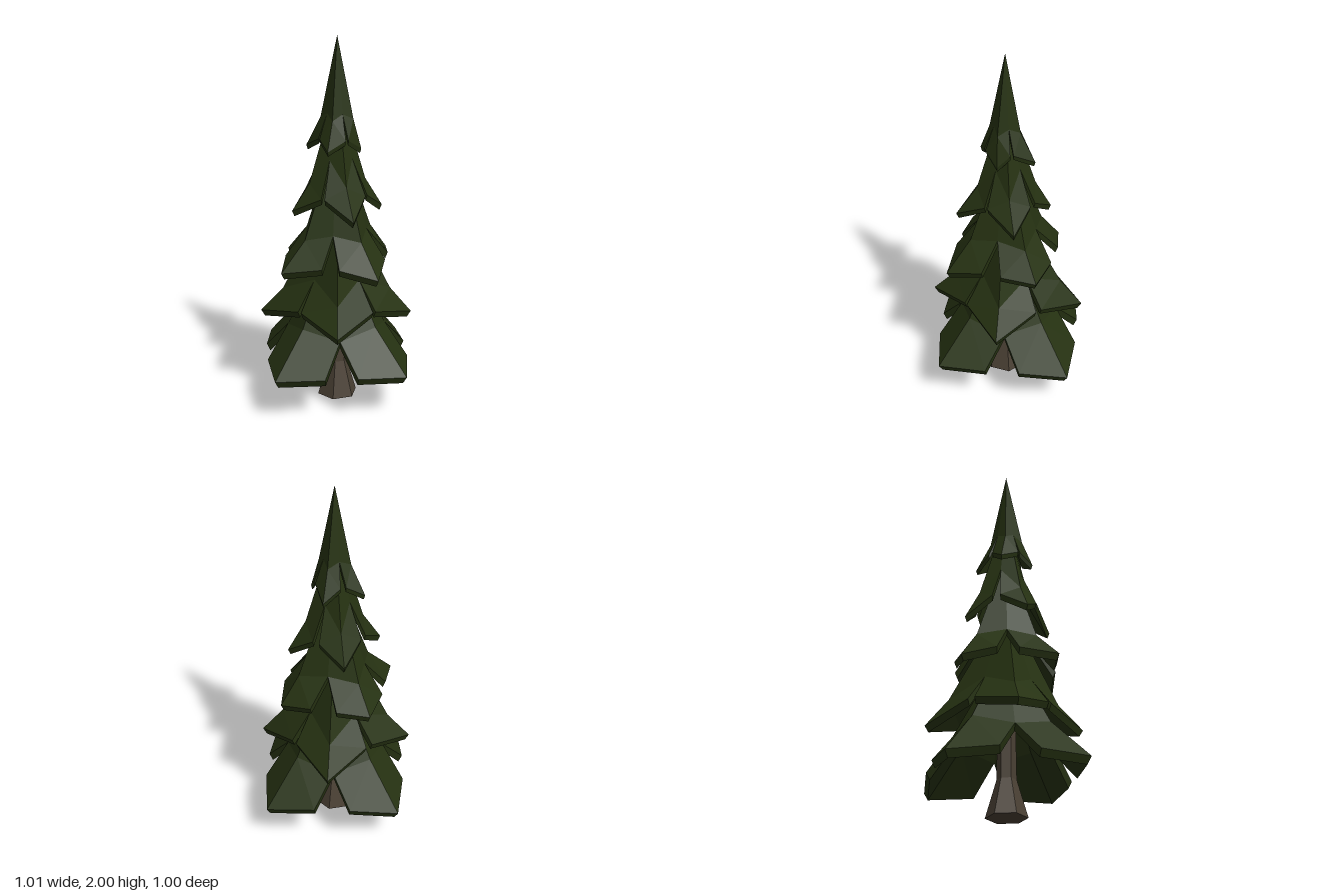
import * as THREE from 'three';

// Each tier is a four-branched, folded skirt.
// tips: [x, y, z] in order of azimuth; mid: ridge bend [radius, y];
// corner: [radius, y, angle from tip in degrees]; valley: notch between branches [radius, y]
const TIERS = [
  { apex: 0.95, mid: [0.28, 0.46], corner: [0.395, 0.245, 31], valley: [0.265, 0.41], drop: 0.04,
    tips: [[0.505, 0.215, 0.005], [0, 0.235, 0.5], [-0.505, 0.235, 0.02], [0, 0.215, -0.505]] },
  { apex: 1.2, mid: [0.29, 0.62], corner: [0.285, 0.555, 42], valley: [0.17, 0.71], drop: 0.035,
    tips: [[0.265, 0.48, 0.31], [-0.31, 0.49, 0.285], [-0.285, 0.49, -0.295], [0.305, 0.47, -0.27]] },
  { apex: 1.5, mid: [0.22, 0.94], corner: [0.275, 0.82, 33], valley: [0.16, 0.97], drop: 0.035,
    tips: [[0.32, 0.79, 0.08], [-0.08, 0.77, 0.365], [-0.375, 0.79, -0.05], [0.045, 0.79, -0.32]] },
  { apex: 1.75, mid: [0.155, 1.23], corner: [0.175, 1.17, 40], valley: [0.09, 1.36], drop: 0.03,
    tips: [[0.21, 1.07, 0.14], [-0.14, 1.075, 0.245], [-0.225, 1.085, -0.11], [0.115, 1.07, -0.195]] },
  { apex: 2, mid: [0.088, 1.57], corner: [0.11, 1.47, 40], valley: [0.06, 1.6], drop: 0.025,
    tips: [[0.055, 1.41, 0.125], [-0.145, 1.42, 0.07], [-0.08, 1.41, -0.14], [0.14, 1.41, -0.06]] },
];
const AXIS = [-0.01, 0.015];

// point around the slightly offset tree axis
function polar(angle, r, y, shift = 1) {
  return [r * Math.cos(angle) + AXIS[0] * shift, y, r * Math.sin(angle) + AXIS[1] * shift];
}

function tierGeometry({ apex, mid, corner, valley, drop, tips }, shift) {
  const pos = [];
  const tri = (a, b, c) => pos.push(...a, ...b, ...c);
  const quad = (a, b, c, d) => { tri(a, b, c); tri(a, c, d); };
  // matching point on the underside
  const under = ([x, y, z]) => [x * 0.95, y - drop, z * 0.95];

  const angles = tips.map(([x, , z]) => Math.atan2(z, x));
  const spread = THREE.MathUtils.degToRad(corner[2]);
  const top = polar(0, 0, apex);
  const inside = [top[0], apex - 0.15, top[2]];
  const ridge = angles.map(a => polar(a, mid[0], mid[1], shift));
  const left = angles.map(a => polar(a + spread, corner[0], corner[1], shift));
  const right = angles.map(a => polar(a - spread, corner[0], corner[1], shift));
  const notch = angles.map((a, k) => {
    let b = angles[(k + 1) % 4];
    while (b < a) b += Math.PI * 2;
    return polar((a + b) / 2, valley[0], valley[1], shift);
  });

  for (let k = 0; k < 4; k++) {
    const T = tips[k], M = ridge[k], L = left[k], R = right[k];
    const V = notch[k], W = notch[(k + 3) % 4];
    const [t, m, l, r, v, w] = [T, M, L, R, V, W].map(under);
    // upper faces
    tri(top, V, M);
    tri(top, M, W);
    quad(M, V, L, T);
    quad(M, T, R, W);
    // underside
    tri(inside, m, v);
    tri(inside, w, m);
    quad(m, t, l, v);
    quad(m, w, r, t);
    // rim
    quad(W, R, r, w);
    quad(R, T, t, r);
    quad(T, L, l, t);
    quad(L, V, v, l);
  }
  const geo = new THREE.BufferGeometry();
  geo.setAttribute('position', new THREE.Float32BufferAttribute(pos, 3));
  geo.computeVertexNormals();
  return geo;
}

export function createModel() {
  const needles = new THREE.MeshStandardMaterial({ color: 0x263212 });
  needles.name = 'needleGreen';
  const bark = new THREE.MeshStandardMaterial({ color: 0x4a4034 });
  bark.name = 'barkBrown';

  const tree = new THREE.Group();
  tree.name = 'pineTree';

  // six-sided trunk, flared at the foot
  const profile = [[0, 0], [0.11, 0], [0.052, 0.2], [0.045, 0.65], [0, 0.8]];
  const trunkGeo = new THREE.LatheGeometry(profile.map(p => new THREE.Vector2(...p)), 6).toNonIndexed();
  trunkGeo.computeVertexNormals();
  const trunk = new THREE.Mesh(trunkGeo, bark);
  trunk.name = 'trunk';
  trunk.position.set(AXIS[0], 0, AXIS[1]);
  tree.add(trunk);

  // branch tiers, bottom to top
  TIERS.forEach((tier, i) => {
    const mesh = new THREE.Mesh(tierGeometry(tier, i / 4), needles);
    mesh.name = `branchTier${i + 1}`;
    tree.add(mesh);
  });
  return tree;
}
